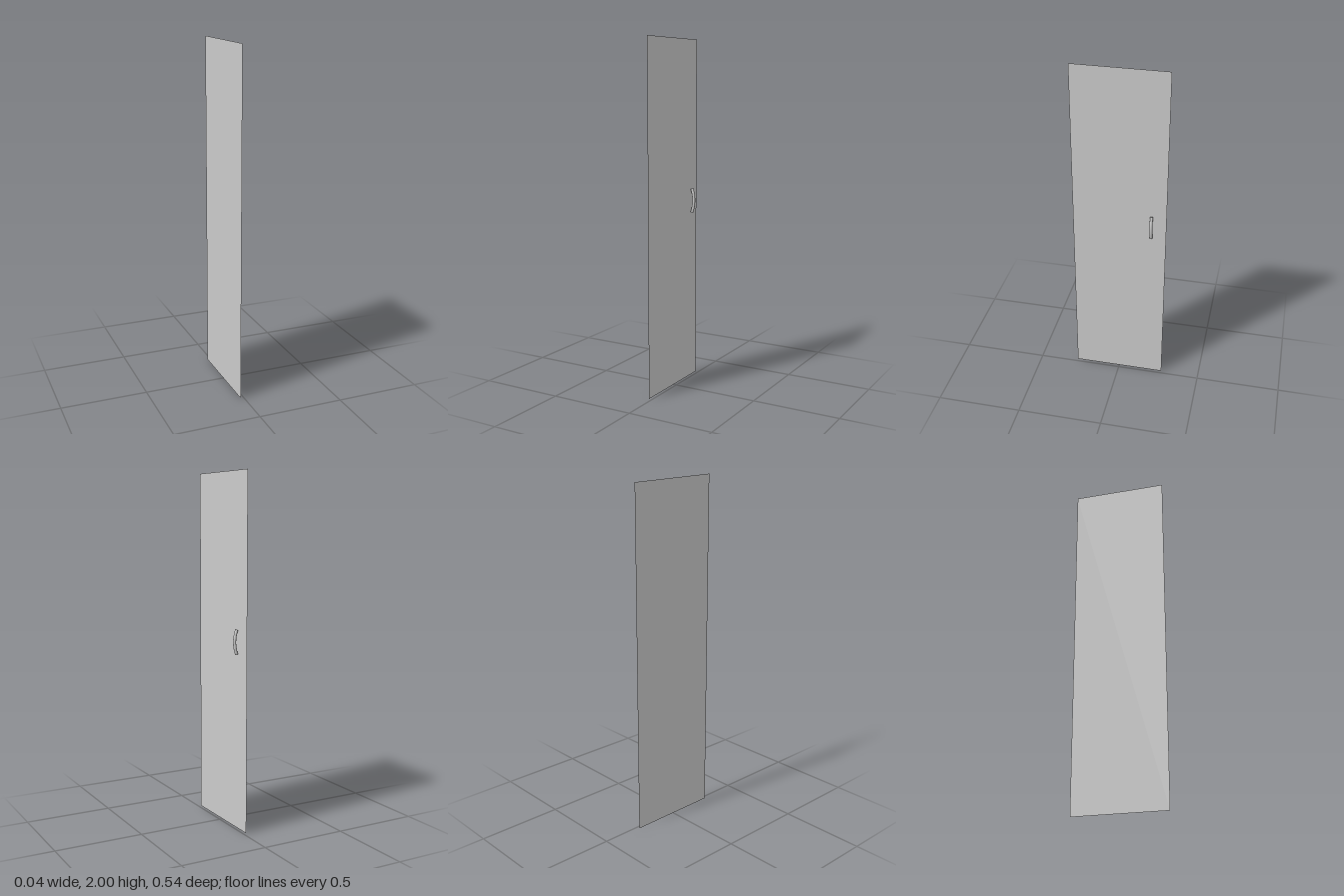
import * as THREE from 'three';

export function createModel() {
  const group = new THREE.Group();
  const grey = new THREE.MeshStandardMaterial({ color: 0xcccccc });
  const sheet = new THREE.MeshStandardMaterial({ color: 0xcccccc, side: THREE.DoubleSide });

  // Thin door panel facing +x
  const panel = new THREE.Mesh(new THREE.PlaneGeometry(0.54, 2), sheet);
  panel.name = 'doorPanel';
  panel.rotation.y = Math.PI / 2;
  panel.position.set(-0.019, 1, 0);
  group.add(panel);

  // Bowed pull handle
  const handle = new THREE.Group();
  handle.name = 'handle';
  const radius = 0.0085, z = -0.187;
  const curve = new THREE.QuadraticBezierCurve3(
    new THREE.Vector3(-0.002, 1.003, z),
    new THREE.Vector3(0.0235, 1.072, z),
    new THREE.Vector3(-0.002, 1.141, z)
  );
  const grip = new THREE.Mesh(new THREE.TubeGeometry(curve, 20, radius, 20), grey);
  grip.name = 'handleGrip';
  handle.add(grip);

  // Flat end caps, square to the grip
  for (const t of [0, 1]) {
    const cap = new THREE.Mesh(new THREE.CircleGeometry(radius, 20), grey);
    cap.name = t ? 'handleTopCap' : 'handleBottomCap';
    const outward = curve.getTangent(t).multiplyScalar(t ? 1 : -1);
    cap.quaternion.setFromUnitVectors(new THREE.Vector3(0, 0, 1), outward);
    cap.position.copy(curve.getPoint(t));
    handle.add(cap);
  }
  group.add(handle);
  return group;
}
